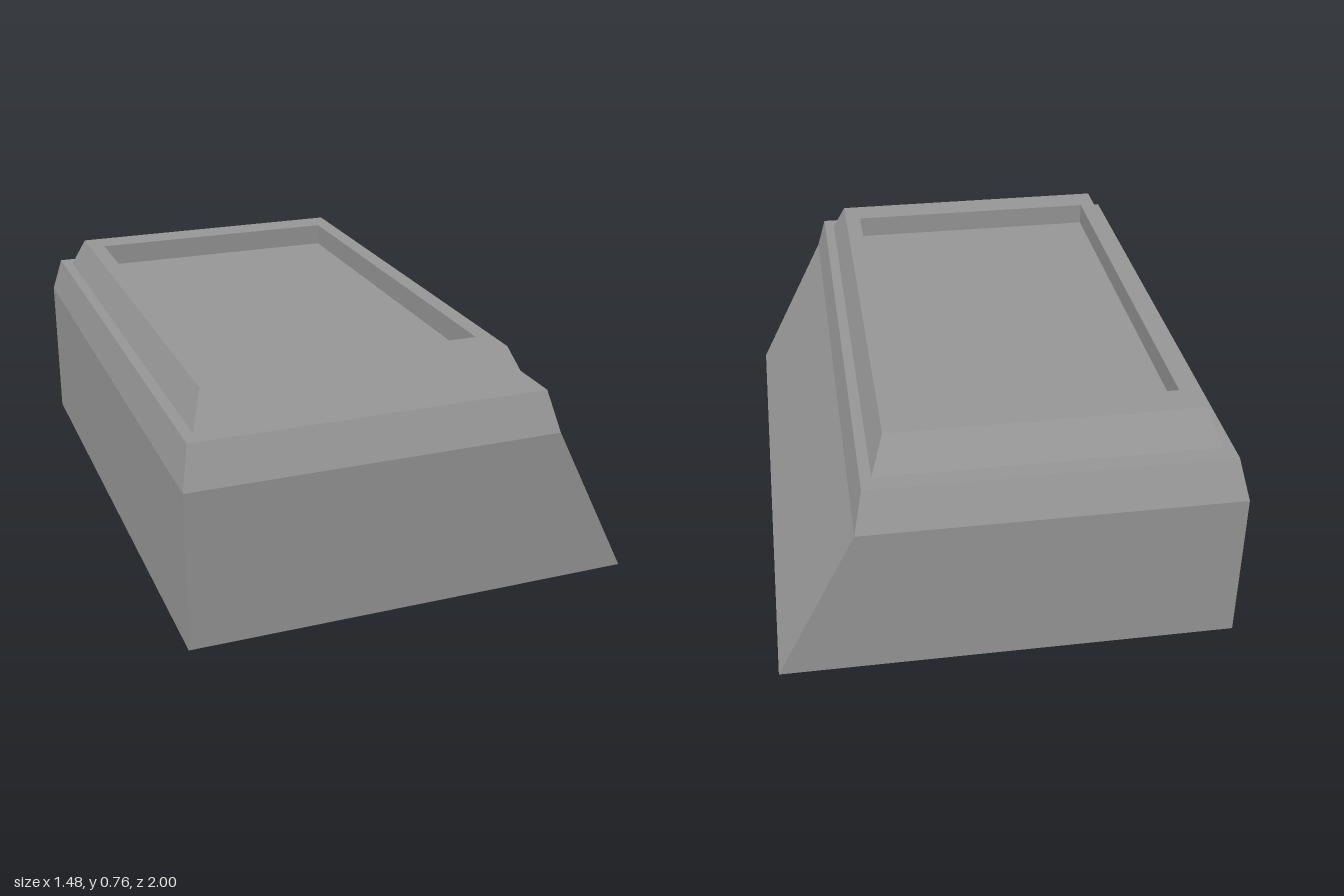
import * as THREE from 'three';

// Rectangle at height y, corners counterclockwise from above
const rect = (y, x0, x1, z) => [[x0, y, z], [x1, y, z], [x1, y, -z], [x0, y, -z]];

// Skin a stack of rectangles, optionally closing either end
function loft(rings, { bottom = false, top = false } = {}) {
  const pos = [];
  const quad = (a, b, c, d) => [a, b, c, a, c, d].forEach((p) => pos.push(...p));
  for (let r = 0; r < rings.length - 1; r++) {
    for (let i = 0; i < 4; i++) {
      const j = (i + 1) % 4;
      quad(rings[r][i], rings[r][j], rings[r + 1][j], rings[r + 1][i]);
    }
  }
  if (bottom) quad(...[...rings[0]].reverse());
  if (top) quad(...rings[rings.length - 1]);
  const geo = new THREE.BufferGeometry();
  geo.setAttribute('position', new THREE.Float32BufferAttribute(pos, 3));
  geo.computeVertexNormals();
  return geo;
}

export function createModel() {
  const group = new THREE.Group();
  const grey = new THREE.MeshStandardMaterial({ color: 0x999999, flatShading: true });
  grey.name = 'grey';

  const add = (name, rings, caps) => {
    const mesh = new THREE.Mesh(loft(rings, caps), grey);
    mesh.name = name;
    group.add(mesh);
  };

  const base = rect(0, -0.74, 0.74, 1);
  const shoulder = rect(0.52, -0.74, 0.48, 1);
  const ledgeOuter = rect(0.65, -0.71, 0.45, 0.95);
  const ledgeInner = rect(0.65, -0.675, 0.415, 0.89);
  const rimOuter = rect(0.76, -0.632, 0.372, 0.822);
  const rimInner = rect(0.76, -0.577, 0.317, 0.713);
  const floor = rect(0.683, -0.577, 0.317, 0.713);

  // Block with one sloping side, bevelled shoulder and flat ledge
  add('body', [base, shoulder, ledgeOuter, ledgeInner], { bottom: true });
  // Tapered frame standing on the ledge
  add('frame', [ledgeInner, rimOuter, rimInner]);
  // Sunken panel inside the frame
  add('recess', [rimInner, floor], { top: true });

  return group;
}
